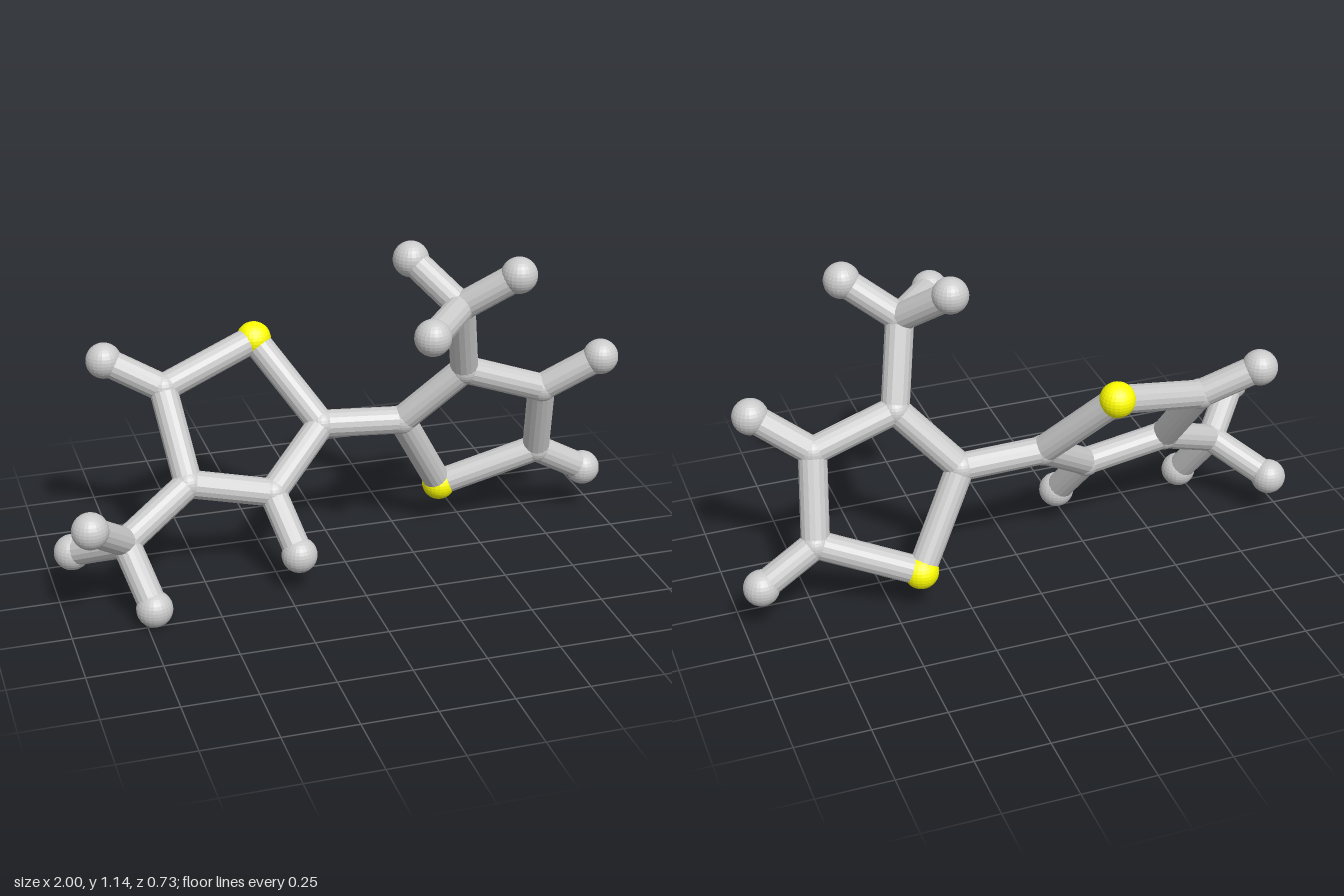
import * as THREE from 'three';

const STICK = 0.048;
const RADIUS = { carbon: 0.052, hydrogen: 0.061, sulfur: 0.06 };

// Atom positions; the first letter of the key gives the element
const ATOMS = {
  // left ring
  S1: [-0.237, 0.75, -0.307], C2: [-0.58, 0.65, -0.204], C3: [-0.547, 0.382, 0.0],
  C4: [-0.263, 0.32, 0.022], C5: [-0.052, 0.488, -0.115],
  H2: [-0.766, 0.748, -0.265], H4: [-0.206, 0.14, 0.152],
  // left methyl
  CM: [-0.787, 0.256, 0.115],
  HMa: [-0.921, 0.384, 0.249], HMb: [-0.941, 0.158, -0.053], HMc: [-0.723, 0.064, 0.24],
  // right ring
  S6: [0.41, 0.16, -0.2], C7: [0.234, 0.473, -0.1], C8: [0.425, 0.678, -0.005],
  C9: [0.709, 0.577, -0.002], C10: [0.744, 0.291, -0.115],
  H9: [0.89, 0.702, 0.075], H10: [0.938, 0.178, -0.137],
  // right methyl
  CN: [0.366, 0.954, 0.108],
  HNa: [0.239, 1.083, -0.04], HNb: [0.533, 1.077, 0.194], HNc: [0.201, 0.939, 0.306],
};

// Each atom with the atoms it is joined to
const BONDS = {
  S1: ['C2', 'C5'],
  C2: ['C3', 'H2'],
  C3: ['C4', 'CM'],
  C4: ['C5', 'H4'],
  CM: ['HMa', 'HMb', 'HMc'],
  C7: ['C5', 'S6', 'C8'],
  C9: ['C8', 'C10', 'H9'],
  C10: ['S6', 'H10'],
  CN: ['C8', 'HNa', 'HNb', 'HNc'],
};

export function createModel() {
  const model = new THREE.Group();
  model.name = 'molecule';
  const grey = new THREE.MeshStandardMaterial({ color: 0xcccccc, flatShading: true });
  const yellow = new THREE.MeshStandardMaterial({ color: 0xffff00, flatShading: true });
  const up = new THREE.Vector3(0, 1, 0);
  const elements = { C: 'carbon', H: 'hydrogen', S: 'sulfur' };

  // Balls
  const balls = {};
  for (const [name, r] of Object.entries(RADIUS)) balls[name] = new THREE.SphereGeometry(r, 24, 16);
  for (const [key, p] of Object.entries(ATOMS)) {
    const element = elements[key[0]];
    const ball = new THREE.Mesh(balls[element], element === 'sulfur' ? yellow : grey);
    ball.name = element + 'Ball';
    ball.position.set(...p);
    model.add(ball);
  }

  // Sticks joining ball centres
  for (const [from, targets] of Object.entries(BONDS)) {
    for (const to of targets) {
      const a = new THREE.Vector3(...ATOMS[from]);
      const b = new THREE.Vector3(...ATOMS[to]);
      const dir = b.clone().sub(a);
      const stick = new THREE.Mesh(new THREE.CylinderGeometry(STICK, STICK, dir.length(), 16), grey);
      stick.name = 'bondStick';
      stick.position.copy(a).add(b).multiplyScalar(0.5);
      stick.quaternion.setFromUnitVectors(up, dir.normalize());
      model.add(stick);
    }
  }
  return model;
}
